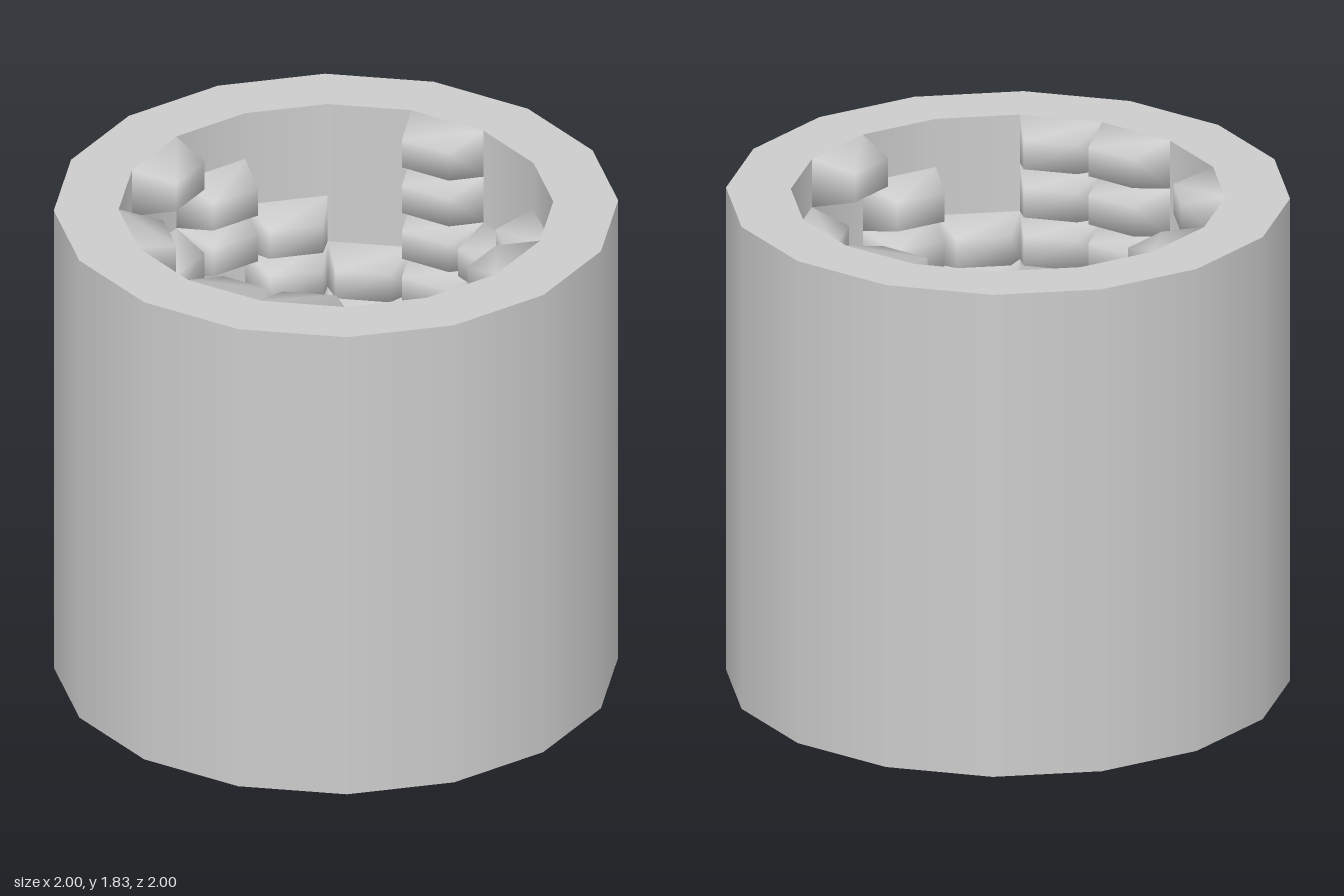
import * as THREE from 'three';

const SIDES = 16, ROWS = 10, HEIGHT = 1.83, OUTER = 1, INNER = 0.77;
const STEP = (Math.PI * 2) / SIDES;
const CELL_W = 2 * INNER * Math.sin(STEP / 2), CELL_H = HEIGHT / ROWS;
const APOTHEM = INNER * Math.cos(STEP / 2);

// One string per inner facet, top to bottom: 1 is a raised block
const PATTERN = [
  '1111101100', '1110011010', '0011010110', '0110101101',
  '1001101011', '0101100110', '0110011010', '0011010101',
  '1111011001', '0001101011', '0011010110', '0110101101',
  '1011011111', '0100111001', '1001011001', '0010110000',
];

// Open-backed truncated pyramid facing +z, with softened normals
function blockGeometry(w, h, depth, topW, topH) {
  const loop = (a, b, z) => [-a, -b, z, a, -b, z, a, b, z, -a, b, z];
  const positions = [...loop(w / 2, h / 2, 0), ...loop(topW / 2, topH / 2, depth)];
  const index = [4, 5, 6, 4, 6, 7];
  for (let i = 0; i < 4; i++) {
    const j = (i + 1) % 4;
    index.push(i, j, j + 4, i, j + 4, i + 4);
  }
  const geometry = new THREE.BufferGeometry();
  geometry.setAttribute('position', new THREE.Float32BufferAttribute(positions, 3));
  geometry.setIndex(index);
  geometry.computeVertexNormals();
  return geometry;
}

export function createModel() {
  const model = new THREE.Group();
  model.name = 'ring';
  const material = new THREE.MeshStandardMaterial({ color: 0xcccccc });

  // Tube shell: separate surfaces keep the rims sharp and the walls smooth
  const names = ['outerWall', 'topRim', 'innerWall', 'bottomRim'];
  const profile = [[OUTER, 0], [OUTER, HEIGHT], [INNER, HEIGHT], [INNER, 0]]
    .map(([r, y]) => new THREE.Vector2(r, y));
  names.forEach((name, i) => {
    const geometry = new THREE.LatheGeometry([profile[i], profile[(i + 1) % 4]], SIDES);
    const mesh = new THREE.Mesh(geometry, material);
    mesh.name = name;
    model.add(mesh);
  });

  // Raised blocks on the inner facets
  const block = blockGeometry(CELL_W, CELL_H, 0.15, 0.195, 0.11);
  PATTERN.forEach((cells, c) => {
    const column = new THREE.Group();
    column.name = 'blockColumn';
    column.rotation.y = (c + 0.5) * STEP + Math.PI;
    [...cells].forEach((cell, r) => {
      if (cell !== '1') return;
      const mesh = new THREE.Mesh(block, material);
      mesh.name = 'raisedBlock';
      mesh.position.set(0, HEIGHT - (r + 0.5) * CELL_H, -APOTHEM);
      column.add(mesh);
    });
    model.add(column);
  });
  return model;
}
